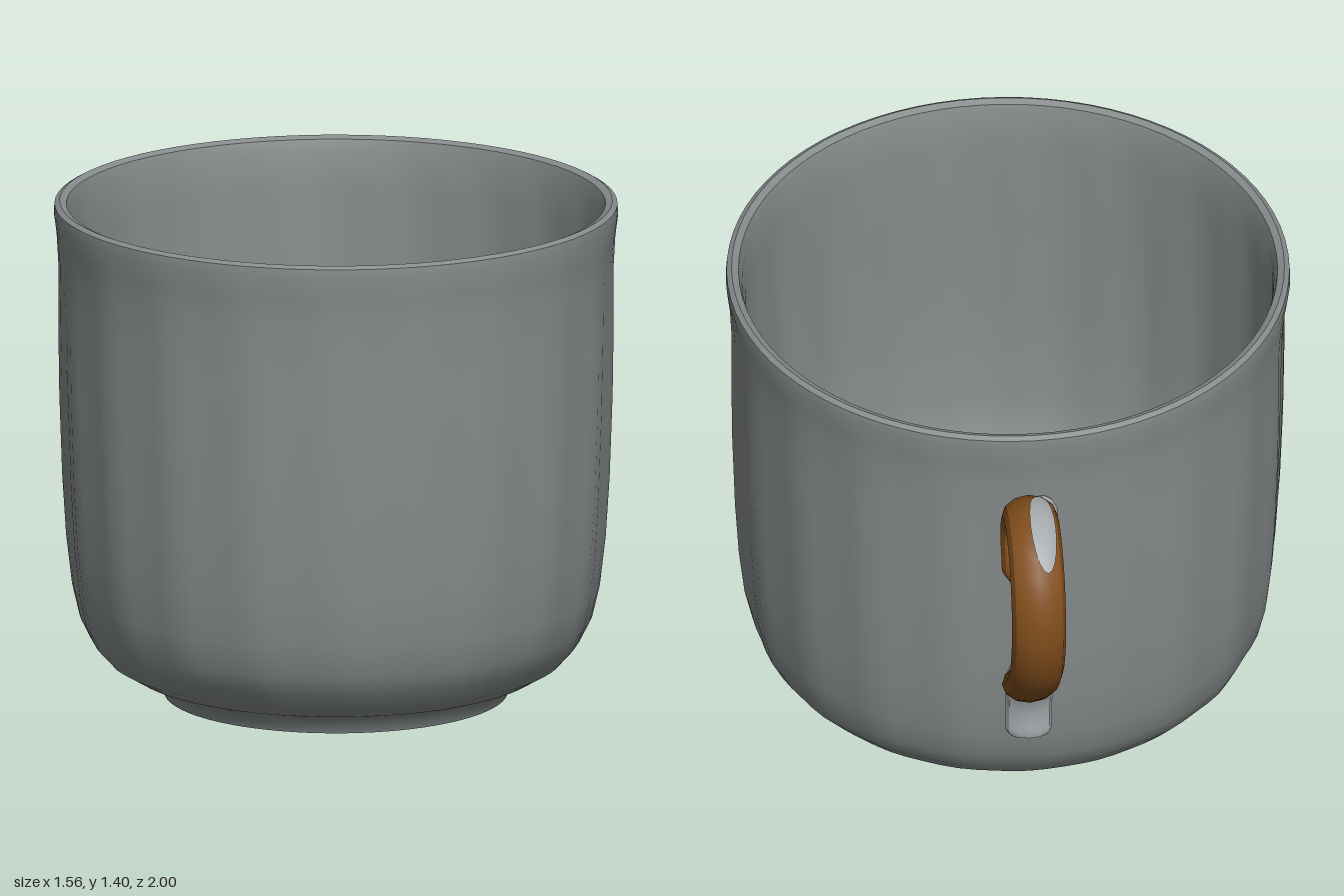
import * as THREE from 'three';
import { toCreasedNormals } from 'three/addons/utils/BufferGeometryUtils.js';

const mat = (name, color) => {
  const m = new THREE.MeshStandardMaterial({ color });
  m.name = name;
  return m;
};

// Moves every vertex of a geometry by a rule
function warp(geo, rule) {
  const p = geo.attributes.position, v = new THREE.Vector3();
  for (let i = 0; i < p.count; i++) {
    v.fromBufferAttribute(p, i);
    rule(v);
    p.setXYZ(i, v.x, v.y, v.z);
  }
  geo.computeVertexNormals();
  return toCreasedNormals(geo, 0.55);
}

// Point on an oval rod swept along a curve lying in the yz plane
function onRod(curve, v, t, angle, rx, ry) {
  const p = curve.getPointAt(t), d = curve.getTangentAt(t);
  const s = Math.sin(angle) * ry;
  v.set(p.x + Math.cos(angle) * rx, p.y - d.z * s, p.z + d.y * s);
}

// Rod with rounded ends
function rod(curve, rx, ry, rows) {
  return warp(new THREE.PlaneGeometry(1, 1, rows, 12), v => {
    const t = (1 - Math.cos(Math.PI * (v.x + 0.5))) / 2;
    const k = Math.sqrt(Math.min(1, Math.min(t, 1 - t) / 0.05));
    onRod(curve, v, t, v.y * Math.PI * 2, rx * k, ry * k);
  });
}

const path = (x, pts) =>
  new THREE.CatmullRomCurve3(pts.map(([z, y]) => new THREE.Vector3(x, y, z)));

export function createModel() {
  const group = new THREE.Group();
  const glaze = mat('grey glaze', 0x868b8b);
  const pale = mat('pale grey', 0xa6aaac);
  const brown = mat('brown', 0x814e1c);
  const add = (name, geo, material) => {
    const mesh = new THREE.Mesh(geo, material);
    mesh.name = name;
    group.add(mesh);
    return mesh;
  };

  // Cup: recessed foot, outer wall, rolled rim, inner wall and floor
  const profile = [
    [0, 0.045], [0.4, 0.045], [0.43, 0.012], [0.455, 0.003], [0.475, 0.005],
    [0.485, 0.03], [0.51, 0.055], [0.57, 0.075], [0.63, 0.11], [0.675, 0.16],
    [0.705, 0.22], [0.725, 0.31], [0.74, 0.45], [0.75, 0.62], [0.758, 0.85],
    [0.762, 1.05], [0.764, 1.22], [0.77, 1.3], [0.78, 1.365], [0.778, 1.39],
    [0.764, 1.398], [0.745, 1.39], [0.735, 1.35], [0.73, 1.25], [0.725, 1.0],
    [0.715, 0.7], [0.7, 0.4], [0.67, 0.26], [0.62, 0.18], [0.54, 0.13],
    [0.42, 0.11], [0, 0.105],
  ].map(([r, y]) => new THREE.Vector2(r, y));
  add('cup', warp(new THREE.LatheGeometry(profile, 80), v => {
    const r = Math.hypot(v.x, v.z), a = Math.atan2(v.x, v.z);
    // Shallow vertical flutes fading out at rim and base
    const fade = r > 0.6 ? Math.max(0, Math.sin(Math.PI * (v.y - 0.08) / 1.27)) : 0;
    const k = 1 + 0.009 * fade ** 0.6 * Math.cos(20 * a);
    const y = v.y;
    v.y += 0.008 * v.z * y / 1.4;
    v.x *= k;
    v.z = v.z * k + 0.215 + 0.025 * (1 - y / 1.4);
  }), glaze);

  // Curled handle
  const curl = path(0.025, [
    [-0.665, 0.94], [-0.645, 1.02], [-0.605, 1.1], [-0.645, 1.19], [-0.76, 1.237],
    [-0.885, 1.18], [-0.945, 1.03], [-0.905, 0.87], [-0.79, 0.73], [-0.6, 0.57],
  ]);
  add('handle', rod(curl, 0.075, 0.055, 48), brown);

  // Pale worn patch on top of the handle
  add('handlePatch', warp(new THREE.RingGeometry(0.001, 1, 20, 4), v => {
    onRod(curl, v, 0.34 + v.x * 0.085, Math.PI / 2 + 0.35 + v.y * 0.5, 0.079, 0.059);
  }), pale);

  // Pale lower mount running down the wall
  const mount = path(0.015, [[-0.6, 0.63], [-0.575, 0.56], [-0.545, 0.48], [-0.54, 0.41], [-0.545, 0.35]]);
  add('lowerMount', rod(mount, 0.065, 0.042, 16), pale);

  // Small pale joint between curl and wall
  const joint = add('upperJoint', new THREE.SphereGeometry(1, 12, 8), pale);
  joint.scale.set(0.045, 0.06, 0.035);
  joint.position.set(-0.02, 1.125, -0.56);

  return group;
}
